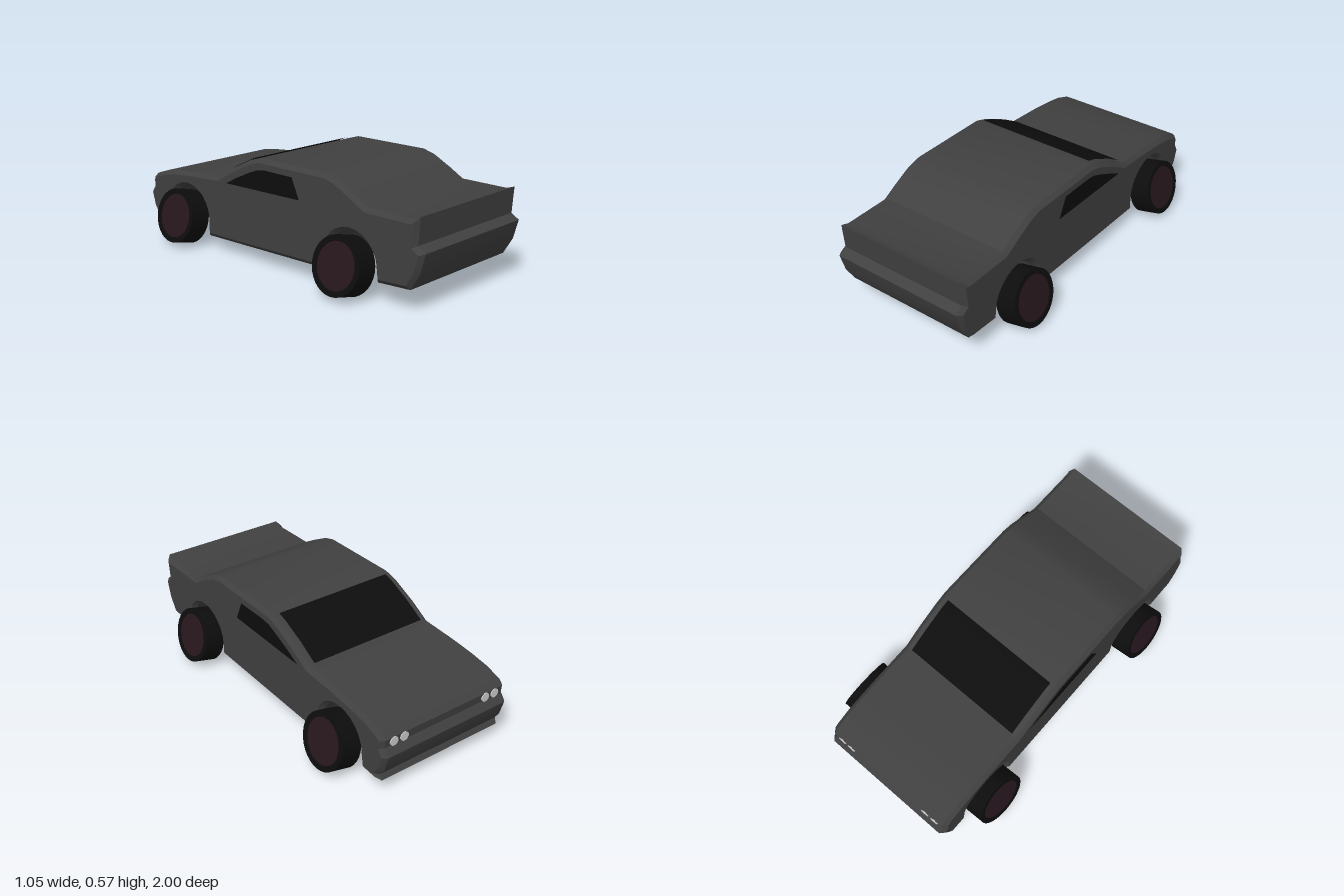
import * as THREE from 'three';
import { toCreasedNormals } from 'three/addons/utils/BufferGeometryUtils.js';

const paint = new THREE.MeshStandardMaterial({ color: 0x404040 });
const glass = new THREE.MeshStandardMaterial({ color: 0x0d0d0d, side: THREE.DoubleSide });
const rubber = new THREE.MeshStandardMaterial({ color: 0x0d0d0d });
const rim = new THREE.MeshStandardMaterial({ color: 0x28171e });
const lamp = new THREE.MeshStandardMaterial({ color: 0xcccccc });

const HALF = 0.393;           // half width of the body
const AXLES = [0.555, -0.655]; // z of the wheels

function add(parent, name, geometry, material) {
  const mesh = new THREE.Mesh(geometry, material);
  mesh.name = name;
  parent.add(mesh);
  return mesh;
}

// Outline of a wheel arch, as [z, y], running towards +z
function arch(z) {
  const pts = [];
  for (let i = 0; i <= 12; i++) {
    const a = Math.PI * i / 12;
    pts.push([z - 0.157 * Math.cos(a), 0.17 + 0.153 * Math.sin(a)]);
  }
  return pts;
}

// Shape from [z, y] points; it is extruded sideways after a quarter turn
const sideShape = pts => new THREE.Shape(pts.map(([z, y]) => new THREE.Vector2(-z, y)));

function bodyGeometry() {
  const outline = [
    // tail, roof, bonnet and nose
    [1, 0.31], [0.955, 0.338], [0.965, 0.475], [0.92, 0.46], [0.65, 0.46],
    [0.57, 0.505], [0.46, 0.56], [0.39, 0.578], [-0.075, 0.576], [-0.155, 0.552],
    [-0.29, 0.488], [-0.4, 0.423], [-0.61, 0.41], [-0.75, 0.396], [-0.85, 0.38],
    [-0.945, 0.348], [-0.975, 0.32], [-0.97, 0.275], [-1, 0.236], [-0.975, 0.15],
    [-0.945, 0.108], [-0.96, 0.08],
    // underside with both arches
    [-0.826, 0.08], ...arch(AXLES[1]), [-0.498, 0.07],
    [0.4, 0.092], ...arch(AXLES[0]), [0.72, 0.105], [0.917, 0.118], [0.97, 0.205],
  ];
  const bevel = 0.022;
  const geo = new THREE.ExtrudeGeometry(sideShape(outline), {
    depth: 2 * (HALF - bevel), bevelEnabled: true, bevelSegments: 1,
    bevelSize: bevel, bevelThickness: bevel, bevelOffset: -bevel,
  });
  geo.translate(0, 0, -(HALF - bevel));
  geo.rotateY(Math.PI / 2);
  return toCreasedNormals(geo, 0.4);
}

// Windscreen: a strip lying just above the slope of the body
function windscreenGeometry() {
  const slope = [[-0.105, 0.572], [-0.155, 0.557], [-0.29, 0.493], [-0.4, 0.428]];
  const geo = new THREE.PlaneGeometry(0.69, 1, 1, slope.length - 1);
  const pos = geo.attributes.position;
  for (let i = 0; i < pos.count; i++) {
    const [z, y] = slope[Math.floor(i / 2)];
    // mirrored in x so that the faces look up and forward
    pos.setXYZ(i, -pos.getX(i), y + 0.002, z);
  }
  geo.computeVertexNormals();
  return geo;
}

// Wheel with its outer face towards +x, tilted so that the top leans inwards
function wheel(z) {
  const group = new THREE.Group();
  group.name = 'wheel';
  const w = 0.058;
  const profile = [[0, -w], [0.15, -w], [0.15, w], [0.122, w], [0.118, w - 0.008], [0, w - 0.008]];
  const tyre = new THREE.LatheGeometry(profile.map(p => new THREE.Vector2(...p)), 32);
  add(group, 'tyre', toCreasedNormals(tyre.rotateZ(-Math.PI / 2), 0.5), rubber);
  const hub = add(group, 'hub', new THREE.CircleGeometry(0.12, 32).rotateY(Math.PI / 2), rim);
  hub.position.x = w - 0.004;
  group.rotation.z = 0.235;
  group.position.set(0.433, 0.163, z);
  return group;
}

export function createModel() {
  const car = new THREE.Group();
  car.name = 'car';
  add(car, 'body', bodyGeometry(), paint);
  add(car, 'windscreen', windscreenGeometry(), glass);

  const windowShape = sideShape([
    [0.22, 0.413], [0.17, 0.522], [-0.03, 0.522], [-0.08, 0.515],
    [-0.14, 0.492], [-0.25, 0.442], [-0.325, 0.402],
  ]);

  for (const side of [1, -1]) {
    const pane = add(car, 'sideWindow', new THREE.ShapeGeometry(windowShape).rotateY(Math.PI / 2), glass);
    pane.position.x = side * (HALF + 0.002);

    // Wheels: the far side is the near side turned half round
    for (const z of AXLES) {
      const turn = new THREE.Group();
      turn.name = side > 0 ? 'leftWheel' : 'rightWheel';
      turn.add(wheel(side * z));
      turn.rotation.y = side > 0 ? 0 : Math.PI;
      car.add(turn);
    }

    // Twin headlamps
    for (const x of [0.32, 0.258]) {
      const light = add(car, 'headlamp', new THREE.CylinderGeometry(0.024, 0.024, 0.016, 20), lamp);
      light.rotation.x = Math.PI / 2;
      light.position.set(side * x, 0.298, -0.971);
    }
  }
  return car;
}
